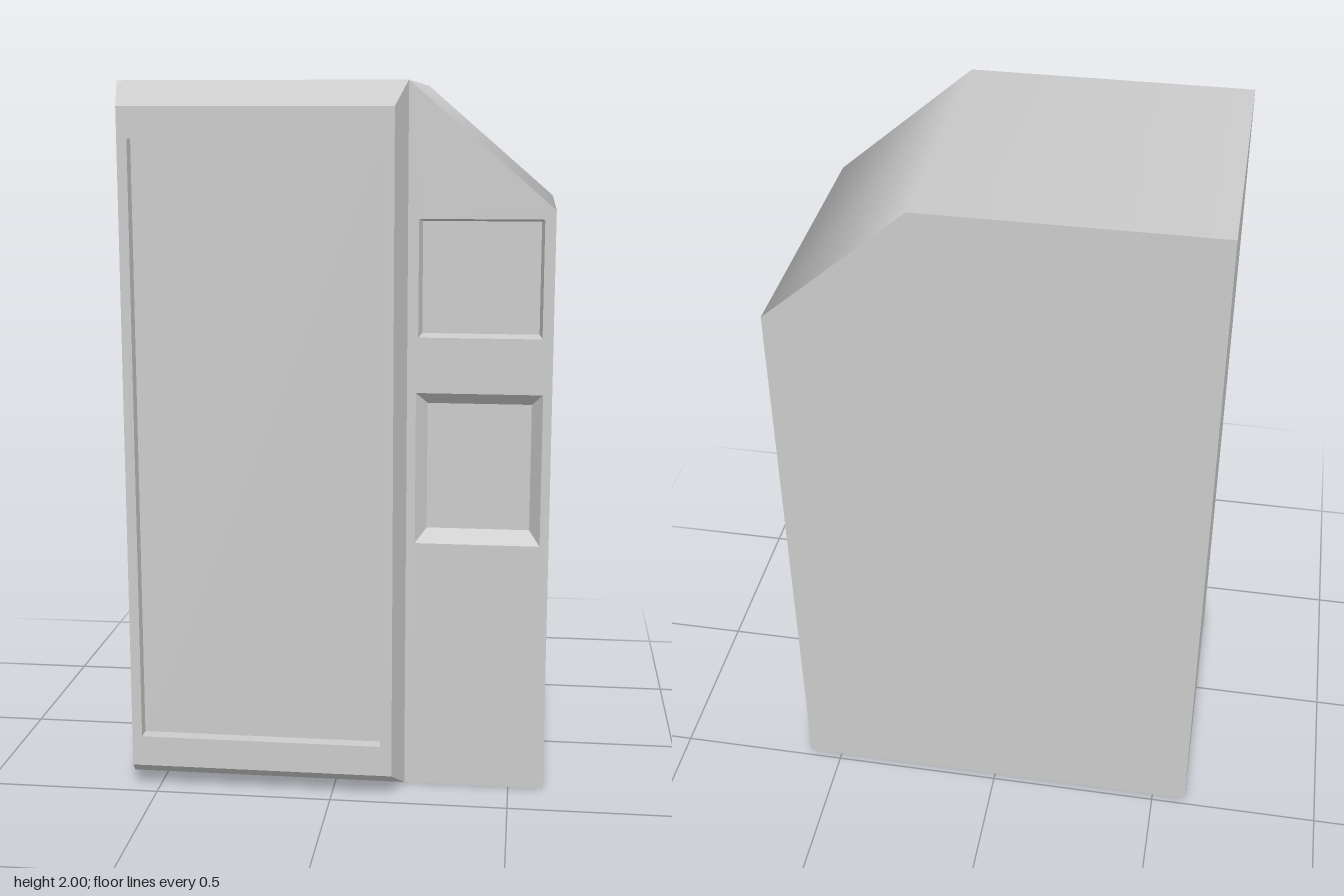
import * as THREE from 'three';

const BACK = -0.48, FACE = 0.355, FRONT = 0.48;
const material = new THREE.MeshStandardMaterial({ color: 0xcccccc });

// Rectangle as counter-clockwise corners
const rect = (x0, x1, y0, y1) => [[x0, y0], [x1, y0], [x1, y1], [x0, y1]];
const toPoints = (corners) => corners.map(([x, y]) => new THREE.Vector2(x, y));

function add(group, name, geometry, z = 0) {
  const mesh = new THREE.Mesh(geometry, material);
  mesh.name = name;
  mesh.position.z = z;
  group.add(mesh);
  return mesh;
}

// Flat face with optional openings
function face(corners, holes = []) {
  const shape = new THREE.Shape(toPoints(corners));
  holes.forEach((h) => shape.holes.push(new THREE.Path(toPoints(h))));
  return new THREE.ShapeGeometry(shape);
}

// Four sloping walls joining outline a at depth za to outline b at depth zb
function walls(a, za, b, zb) {
  const positions = [];
  for (let i = 0; i < 4; i++) {
    const j = (i + 1) % 4;
    const a0 = [...a[i], za], a1 = [...a[j], za], b0 = [...b[i], zb], b1 = [...b[j], zb];
    positions.push(...a0, ...a1, ...b1, ...a0, ...b1, ...b0);
  }
  const g = new THREE.BufferGeometry();
  g.setAttribute('position', new THREE.Float32BufferAttribute(positions, 3));
  g.computeVertexNormals();
  return g;
}

// Strip running front to back along a profile, with a given normal at each point
function strip(profile, normals) {
  const positions = [], norms = [], index = [];
  profile.forEach(([x, y], i) => {
    const n = new THREE.Vector3(...normals[i], 0).normalize();
    for (const z of [FACE, BACK]) {
      positions.push(x, y, z);
      norms.push(n.x, n.y, n.z);
    }
    if (i) {
      const p = 2 * (i - 1);
      index.push(p, p + 2, p + 3, p, p + 3, p + 1);
    }
  });
  const g = new THREE.BufferGeometry();
  g.setAttribute('position', new THREE.Float32BufferAttribute(positions, 3));
  g.setAttribute('normal', new THREE.Float32BufferAttribute(norms, 3));
  g.setIndex(index);
  return g;
}

function recess(group, name, outer, inner, z, depth) {
  const part = new THREE.Group();
  part.name = name;
  add(part, name + 'Walls', walls(outer, z, inner, z - depth));
  add(part, name + 'Floor', face(inner), z - depth);
  group.add(part);
}

export function createModel() {
  const model = new THREE.Group();
  model.name = 'cabinet';

  // Outer shell: top, slope and right side share soft normals
  const outline = [[-0.6, 0], [0.6, 0], [0.6, 1.655], [0.2, 2], [-0.6, 2]];
  add(model, 'topAndSide', strip(
    [[-0.6, 2], [0.2, 2], [0.6, 1.655], [0.6, 0]],
    [[0, 1], [0.28, 0.96], [0.97, 0.22], [1, 0]]
  ));
  add(model, 'leftSide', strip([[-0.6, 0], [-0.6, 2]], [[-1, 0], [-1, 0]]));
  add(model, 'base', strip([[0.6, 0], [-0.6, 0]], [[0, -1], [0, -1]]));
  const back = face(outline.map(([x, y]) => [-x, y]).reverse());
  add(model, 'back', back, BACK).rotation.y = Math.PI;

  // Control column with two recesses
  const display = rect(0.23, 0.57, 1.305, 1.63);
  const tray = rect(0.225, 0.575, 0.72, 1.15);
  add(model, 'columnFace',
    face([[0.2, 0], [0.6, 0], [0.6, 1.655], [0.2, 2]], [display, tray]), FACE);
  recess(model, 'display', display, rect(0.238, 0.562, 1.312, 1.622), FACE, 0.045);
  recess(model, 'tray', tray, rect(0.255, 0.545, 0.755, 1.115), FACE, 0.045);

  // Raised door with bevelled edges and a sunken window
  const doorFront = rect(-0.573, 0.173, 0.07, 1.93);
  const windowRect = rect(-0.545, 0.14, 0.157, 1.845);
  add(model, 'doorBevel', walls(rect(-0.6, 0.2, 0, 2), FACE, doorFront, FRONT));
  add(model, 'doorFrame', face(doorFront, [windowRect]), FRONT);
  recess(model, 'doorWindow', windowRect, windowRect, FRONT, 0.04);

  return model;
}
